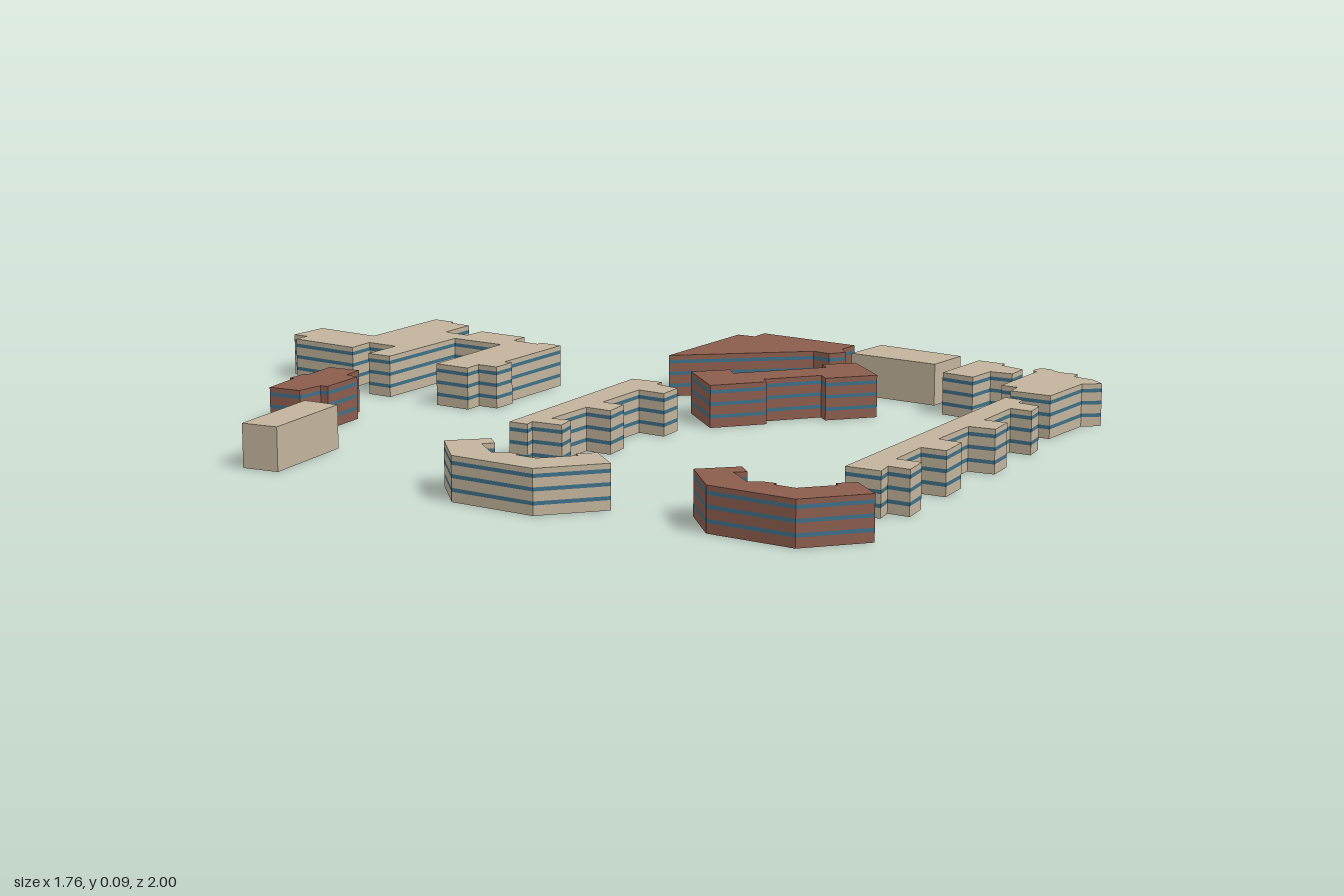
import * as THREE from 'three';

const HEIGHT = 0.095;
const BANDS = [0.025, 0.053, 0.08]; // centre height of each window row
const BAND_H = 0.008;

const paint = (color) => new THREE.MeshStandardMaterial({ color, flatShading: true });

// Vertical walls around a footprint, between pairs of heights
function wallGeometry(outline, spans) {
  const pos = [];
  for (const [y0, y1] of spans) {
    outline.forEach(([ax, az], i) => {
      const [bx, bz] = outline[(i + 1) % outline.length];
      pos.push(bx, y0, bz, ax, y0, az, ax, y1, az);
      pos.push(bx, y0, bz, ax, y1, az, bx, y1, bz);
    });
  }
  const g = new THREE.BufferGeometry();
  g.setAttribute('position', new THREE.Float32BufferAttribute(pos, 3));
  g.computeVertexNormals();
  return g;
}

// Footprints are [x, z] corners, clockwise as seen from above
function building(name, outline, wallMat, glassMat) {
  const group = new THREE.Group();
  group.name = name;
  const add = (part, geometry, material) => {
    const mesh = new THREE.Mesh(geometry, material);
    mesh.name = part;
    group.add(mesh);
    return mesh;
  };

  // Masonry and window rows alternate up the wall
  const windows = glassMat ? BANDS.map((y) => [y - BAND_H / 2, y + BAND_H / 2]) : [];
  const edges = [0, ...windows.flat(), HEIGHT];
  const masonry = [];
  for (let i = 0; i < edges.length; i += 2) masonry.push([edges[i], edges[i + 1]]);
  add('walls', wallGeometry(outline, masonry), wallMat);
  if (glassMat) add('windowBands', wallGeometry(outline, windows), glassMat);

  // Flat roof and floor
  const shape = new THREE.Shape(outline.map(([x, z]) => new THREE.Vector2(x, -z)));
  add('roof', new THREE.ShapeGeometry(shape).rotateX(-Math.PI / 2), wallMat).position.y = HEIGHT;
  const under = new THREE.Shape(outline.map(([x, z]) => new THREE.Vector2(x, z)));
  add('floor', new THREE.ShapeGeometry(under).rotateX(Math.PI / 2), wallMat);
  return group;
}

export function createModel() {
  const model = new THREE.Group();
  model.name = 'campus';
  const stone = paint(0xc2b39b);
  const brick = paint(0x8c5d4d);
  const glass = paint(0x3d7088);
  const put = (name, outline, wall, windows = glass) => model.add(building(name, outline, wall, windows));

  // Large branching block at the back
  put('mainBlock', [
    [-0.4, -0.915], [-0.365, -0.93], [-0.38, -0.965], [-0.29, -1], [-0.23, -0.85],
    [-0.01, -0.95], [0.01, -0.9], [0, -0.89], [0.02, -0.84], [-0.065, -0.8],
    [-0.04, -0.74], [0.01, -0.76], [0.06, -0.645], [0.02, -0.625], [0.045, -0.56],
    [0.06, -0.565], [0.08, -0.515], [-0.12, -0.425], [-0.11, -0.41], [-0.165, -0.385],
    [-0.185, -0.43], [-0.225, -0.41], [-0.26, -0.49], [-0.03, -0.6], [-0.085, -0.72],
    [-0.31, -0.62], [-0.335, -0.675], [-0.245, -0.715], [-0.275, -0.785], [-0.335, -0.755],
  ], stone);

  // Small brick house
  put('brickHouse', [
    [-0.685, -0.465], [-0.6, -0.52], [-0.605, -0.53], [-0.56, -0.55], [-0.555, -0.54], [-0.48, -0.585],
    [-0.44, -0.52], [-0.485, -0.49], [-0.475, -0.46], [-0.575, -0.405], [-0.585, -0.42], [-0.645, -0.4],
  ], brick);

  // Two plain sheds without windows
  put('westShed', [[-0.885, -0.18], [-0.68, -0.305], [-0.64, -0.23], [-0.84, -0.11]], stone, null);
  put('eastShed', [[0.595, -0.08], [0.71, -0.12], [0.785, 0.08], [0.68, 0.12]], stone, null);

  // Wedge-shaped brick hall
  put('wedgeHall', [
    [0.23, -0.285], [0.5, -0.4], [0.52, -0.36], [0.56, -0.38], [0.655, -0.15],
    [0.605, -0.13], [0.59, -0.095], [0.55, -0.105], [0.535, -0.145],
  ], brick);

  // Dumbbell-shaped brick block
  put('dumbbellBlock', [
    [0.175, -0.11], [0.26, -0.08], [0.245, -0.045], [0.455, 0.015], [0.465, -0.015], [0.54, 0.01],
    [0.5, 0.145], [0.385, 0.11], [0.395, 0.08], [0.265, 0.045], [0.255, 0.07], [0.13, 0.035],
  ], brick);

  // Small stepped house on the east side
  put('steppedHouse', [
    [0.64, 0.2], [0.79, 0.14], [0.815, 0.2], [0.8, 0.21],
    [0.81, 0.27], [0.76, 0.295], [0.735, 0.25], [0.665, 0.275],
  ], stone);

  // House with a round stair tower at its corner
  const tower = [];
  for (let i = 0; i <= 8; i++) {
    const a = Math.PI * (0.95 + (i / 8) * 1.2);
    tower.push([0.841 + 0.022 * Math.cos(a), 0.305 + 0.022 * Math.sin(a)]);
  }
  put('towerHouse', [
    [0.665, 0.375], [0.815, 0.308], ...tower, [0.86, 0.34], [0.88, 0.375], [0.858, 0.39],
    [0.87, 0.44], [0.86, 0.48], [0.82, 0.46], [0.685, 0.515], [0.645, 0.43], [0.68, 0.41],
  ], stone);

  // Two long rows with projecting bays
  put('middleRow', [
    [-0.415, 0.105], [0.025, -0.115], [0.06, -0.05], [0.04, -0.04], [0.055, 0.02], [0, 0.05],
    [-0.025, -0.01], [-0.155, 0.05], [-0.13, 0.095], [-0.185, 0.13], [-0.21, 0.075],
    [-0.325, 0.125], [-0.3, 0.16], [-0.34, 0.19], [-0.375, 0.13], [-0.395, 0.145],
  ], stone);
  put('frontRow', [
    [-0.06, 0.79], [0.595, 0.475], [0.61, 0.515], [0.585, 0.53], [0.6, 0.58], [0.555, 0.61],
    [0.535, 0.565], [0.42, 0.62], [0.445, 0.665], [0.385, 0.7], [0.355, 0.65], [0.235, 0.705],
    [0.255, 0.755], [0.185, 0.795], [0.16, 0.745], [0.06, 0.795], [0.085, 0.845],
    [0.03, 0.88], [0.01, 0.835], [-0.025, 0.86],
  ], stone);

  // Matching pair of bent courtyard houses
  const bent = [
    [-0.61, 0.18], [-0.52, 0.215], [-0.535, 0.255], [-0.56, 0.245], [-0.58, 0.32],
    [-0.555, 0.335], [-0.54, 0.36], [-0.55, 0.365], [-0.53, 0.41], [-0.45, 0.435],
    [-0.445, 0.42], [-0.405, 0.435], [-0.43, 0.525], [-0.58, 0.48], [-0.66, 0.3],
  ];
  put('bentHouseStone', bent, stone);
  put('bentHouseBrick', bent.map(([x, z]) => [x + 0.29, z + 0.47]), brick);

  return model;
}
